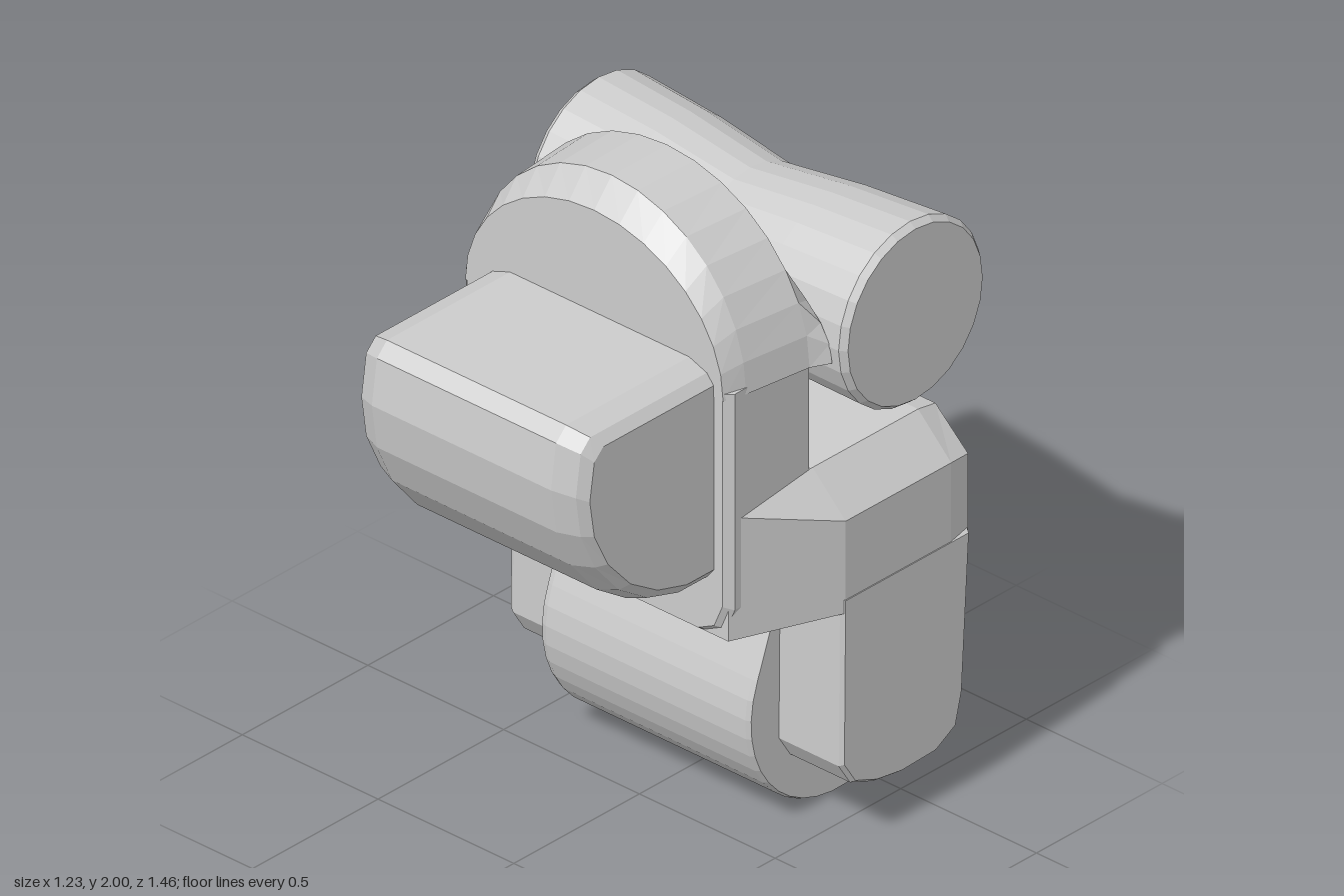
import * as THREE from 'three';

const material = new THREE.MeshStandardMaterial({ color: 0xcccccc, flatShading: true });

// Closed solid through equal-length convex rings of [x, y, z] points
function loft(name, rings) {
  const n = rings[0].length;
  const pos = rings.flat(2);
  const idx = [];
  for (let r = 0; r < rings.length - 1; r++) {
    for (let i = 0; i < n; i++) {
      const a = r * n + i, b = r * n + (i + 1) % n;
      idx.push(a, b, b + n, a, b + n, a + n);
    }
  }
  const last = (rings.length - 1) * n;
  for (let i = 1; i < n - 1; i++) {
    idx.push(0, i + 1, i, last, last + i, last + i + 1);
  }
  // Make the faces point outward whichever way the rings run
  const p = (i) => new THREE.Vector3().fromArray(pos, i * 3);
  let volume = 0;
  for (let i = 0; i < idx.length; i += 3) {
    volume += p(idx[i]).dot(p(idx[i + 1]).cross(p(idx[i + 2])));
  }
  if (volume < 0) idx.reverse();
  const geo = new THREE.BufferGeometry();
  geo.setAttribute('position', new THREE.Float32BufferAttribute(pos, 3));
  geo.setIndex(idx);
  const flat = geo.toNonIndexed();
  flat.computeVertexNormals();
  const mesh = new THREE.Mesh(flat, material);
  mesh.name = name;
  return mesh;
}

// Ring at one x from a [z, y] profile, scaled about (cz, cy)
const sideRing = (profile, x, cz = 0, cy = 0, sz = 1, sy = sz) =>
  profile.map(([z, y]) => [x, cy + (y - cy) * sy, cz + (z - cz) * sz]);

// Ring at one z from the right half of an outline, mirrored to the left
const mirrorRing = (half, z) => [
  ...half.map(([x, y]) => [x, y, z]),
  ...half.slice().reverse().map(([x, y]) => [-x, y, z]),
];

function arc(cz, cy, r, from, to, steps) {
  return Array.from({ length: steps + 1 }, (_, i) => {
    const a = THREE.MathUtils.degToRad(from + (to - from) * i / steps);
    return [cz + r * Math.cos(a), cy + r * Math.sin(a)];
  });
}

export function createModel() {
  const model = new THREE.Group();

  // Upright front panel with rounded lower corners
  const panel = (w, b) => [[w - 0.09, b], [w - 0.03, b + 0.03], [w, b + 0.1], [w, 1.53]];
  model.add(loft('frontPanel', [
    mirrorRing(panel(0.47, 0.76), 0.178),
    mirrorRing(panel(0.495, 0.75), 0.155),
    mirrorRing(panel(0.49, 0.75), -0.145),
  ]));

  // Arched hood, flaring toward the back
  const hood = (w, top, z) => {
    const pts = [];
    for (let i = 0; i <= 16; i++) {
      const a = Math.PI * i / 16;
      pts.push([w * Math.cos(a), 1.51 + (top - 1.51) * Math.sin(a), z]);
    }
    return pts;
  };
  model.add(loft('hood', [
    hood(0.475, 1.92, 0.18), hood(0.495, 2, 0.11),
    hood(0.525, 2, -0.11), hood(0.555, 1.8, -0.168),
  ]));

  // Rounded pouch on the front
  const pouch = [[0.16, 1.6], [0.67, 1.6], [0.71, 1.56], [0.73, 1.42], [0.71, 1.28],
    [0.65, 1.15], [0.55, 1.03], [0.43, 0.95], [0.3, 0.91], [0.16, 0.91]];
  model.add(loft('frontPouch', [
    [-0.4, 0.9, 0.84], [-0.375, 0.95, 0.93], [-0.31, 1, 1],
    [0.35, 1, 1], [0.415, 0.95, 0.93], [0.44, 0.9, 0.84],
  ].map(([x, sz, sy]) => sideRing(pouch, x, 0.16, 1.26, sz, sy))));

  // Yoke: widens behind the panel, with chamfered shoulders
  const yoke = (w, wTop, shoulder, top = 1.16) =>
    [[w, 0.75], [w, shoulder], [wTop, top]];
  model.add(loft('yoke', [
    mirrorRing(yoke(0.48, 0.47, 1.14), 0.165),
    mirrorRing(yoke(0.612, 0.49, 1.04), -0.16),
    mirrorRing(yoke(0.612, 0.49, 1.04), -0.58),
    mirrorRing(yoke(0.6, 0.48, 1.03, 1.14), -0.66),
  ]));

  // Side arms reaching down from the yoke
  const arm = [[-0.15, 0.8], [-0.145, 0.27], [-0.19, 0.2], [-0.28, 0.165], [-0.38, 0.15],
    [-0.52, 0.155], [-0.6, 0.2], [-0.625, 0.3], [-0.655, 0.8]];
  for (const [side, name] of [[1, 'leftArm'], [-1, 'rightArm']]) {
    model.add(loft(name, [
      sideRing(arm, side * 0.37), sideRing(arm, side * 0.6),
      sideRing(arm, side * 0.614, -0.4, 0.5, 0.97),
    ]));
  }

  // Teardrop drum between the arms
  const drum = [[-0.645, 0.78], ...arc(-0.38, 0.356, 0.353, 166, 382, 22), [-0.16, 0.78]];
  model.add(loft('lowerDrum', [
    sideRing(drum, -0.39, -0.38, 0.36, 0.98), sideRing(drum, -0.37),
    sideRing(drum, 0.365), sideRing(drum, 0.38, -0.38, 0.36, 0.98),
  ]));

  // Bedroll, pinched at the middle
  const roll = (x, z, y, r, lean = 0) =>
    arc(z, y, r, 0, 345, 23).map(([pz, py]) => [x + (py - y) * lean, py, pz]);
  model.add(loft('bedroll', [
    roll(-0.575, -0.445, 1.555, 0.265, -0.03), roll(-0.555, -0.447, 1.555, 0.282, -0.03),
    roll(-0.28, -0.438, 1.555, 0.27), roll(0.02, -0.42, 1.55, 0.25),
    roll(0.3, -0.44, 1.555, 0.272), roll(0.58, -0.45, 1.56, 0.284),
    roll(0.6, -0.45, 1.56, 0.268),
  ]));

  return model;
}
